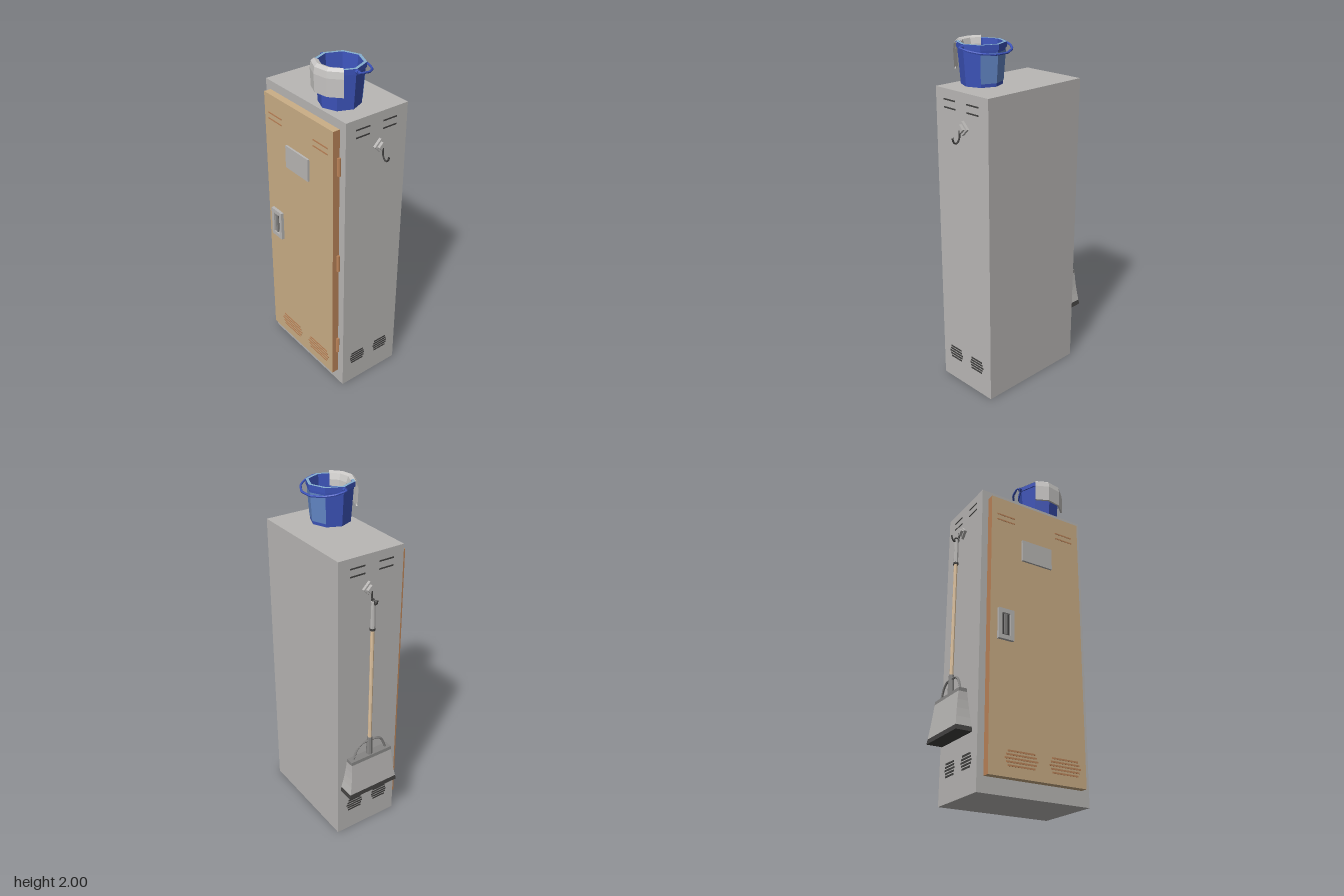
import * as THREE from 'three';

const mat = (name, color, double = false) => {
  const m = new THREE.MeshStandardMaterial({ color, flatShading: true });
  m.name = name;
  if (double) m.side = THREE.DoubleSide;
  return m;
};

export function createModel() {
  const M = {
    body: mat('locker grey', 0xb9b7b5),
    tan: mat('door tan', 0xcbae86),
    edge: mat('door edge brown', 0xbb8459),
    wood: mat('pale wood', 0xdfc39f),
    blue: mat('bucket blue', 0x3d54bb, true),
    pale: mat('pale blue', 0x6488c8, true),
    rim: mat('rim blue', 0x86afcf, true),
    cloth: mat('light grey', 0xcac8c6, true),
    metal: mat('metal grey', 0x858483),
    dark: mat('dark grey', 0x424140),
  };
  const root = new THREE.Group();
  root.name = 'utilityLocker';

  const add = (name, geo, material, x = 0, y = 0, z = 0, parent = root) => {
    const mesh = new THREE.Mesh(geo, material);
    mesh.name = name;
    mesh.position.set(x, y, z);
    parent.add(mesh);
    return mesh;
  };
  // box given by its min and max corners
  const box = (name, a, b, material, parent = root) =>
    add(name, new THREE.BoxGeometry(b[0] - a[0], b[1] - a[1], b[2] - a[2]), material,
      (a[0] + b[0]) / 2, (a[1] + b[1]) / 2, (a[2] + b[2]) / 2, parent);
  const tube = (name, pts, r, material, parent, n = 12, tension = 0.5) => {
    const curve = new THREE.CatmullRomCurve3(pts.map(p => new THREE.Vector3(...p)), false, 'catmullrom', tension);
    return add(name, new THREE.TubeGeometry(curve, n, r, 6), material, 0, 0, 0, parent);
  };
  const lathe = (name, pts, material, parent, segs = 8, start = 0, len = Math.PI * 2) =>
    add(name, new THREE.LatheGeometry(pts.map(p => new THREE.Vector2(...p)), segs, start, len), material, 0, 0, 0, parent);

  // Cabinet
  box('cabinet', [-0.173, 0, -0.335], [0.23, 1.765, 0.352], M.body);

  // Louvre slots on the front and back
  for (const [z, side] of [[0.352, 'front'], [-0.335, 'back']]) {
    const vents = new THREE.Group();
    vents.name = side + 'Vents';
    root.add(vents);
    for (const x of [-0.065, 0.113]) {
      for (const y of [1.665, 1.708])
        add('upperSlot', new THREE.BoxGeometry(0.09, 0.008, 0.004), M.dark, x, y, z, vents);
      for (let i = 0; i < 5; i++)
        add('lowerSlot', new THREE.BoxGeometry(0.11 - Math.abs(i - 2) * 0.011, 0.01, 0.004), M.dark, x, 0.142 + i * 0.017, z, vents);
    }
  }

  // Door on the model's right side
  const door = new THREE.Group();
  door.name = 'door';
  root.add(door);
  box('doorPanel', [-0.215, 0.085, -0.295], [-0.172, 1.715, 0.305], [M.tan, M.tan, M.tan, M.tan, M.edge, M.edge], door);
  for (const y of [0.295, 0.9, 1.508])
    add('hinge', new THREE.CylinderGeometry(0.012, 0.012, 0.105, 8), M.edge, -0.178, y, 0.306, door);
  for (const z of [-0.1, 0.17])
    for (let i = 0; i < 5; i++)
      add('doorLowerSlot', new THREE.BoxGeometry(0.004, 0.009, 0.2 - Math.abs(i - 2) * 0.018), M.edge, -0.215, 0.145 + i * 0.019, z, door);
  for (const z of [-0.2, 0.2])
    for (const y of [1.57, 1.605])
      add('doorUpperSlot', new THREE.BoxGeometry(0.004, 0.008, 0.12), M.edge, -0.215, y, z, door);
  box('signPlate', [-0.227, 1.34, -0.095], [-0.215, 1.473, 0.105], M.body, door);

  // Recessed pull handle: a frame around a dark well
  const frame = new THREE.Shape([[-0.048, -0.09], [0.048, -0.09], [0.048, 0.09], [-0.048, 0.09]].map(p => new THREE.Vector2(...p)));
  frame.holes.push(new THREE.Path([[-0.026, -0.065], [-0.026, 0.065], [0.026, 0.065], [0.026, -0.065]].map(p => new THREE.Vector2(...p))));
  const pull = add('handleFrame', new THREE.ExtrudeGeometry(frame, { depth: 0.018, bevelEnabled: false }), M.body, -0.215, 0.91, -0.203, door);
  pull.rotation.y = -Math.PI / 2;
  box('handleWell', [-0.219, 0.845, -0.229], [-0.214, 0.975, -0.177], M.dark, door);
  box('handleGrip', [-0.231, 0.85, -0.214], [-0.222, 0.97, -0.197], M.metal, door);

  // Coat hooks, front and back
  for (const [z, s, name] of [[0.352, 1, 'frontHook'], [-0.335, -1, 'backHook']]) {
    const hook = new THREE.Group();
    hook.name = name;
    hook.position.set(0.045, 1.58, z);
    hook.rotation.y = s > 0 ? 0 : Math.PI;
    root.add(hook);
    add('hookBase', new THREE.BoxGeometry(0.056, 0.056, 0.016), M.body, 0, 0, 0.008, hook).rotation.z = Math.PI / 4;
    add('hookBoss', new THREE.BoxGeometry(0.036, 0.036, 0.018), M.body, 0, 0, 0.024, hook).rotation.z = Math.PI / 4;
    tube('hookCurve', [[0, -0.005, 0.03], [0, -0.045, 0.033], [0, -0.066, 0.045], [0, -0.072, 0.058],
      [0, -0.06, 0.073], [0, -0.036, 0.08]], 0.005, M.dark, hook);
  }

  // Bucket
  const bucket = new THREE.Group();
  bucket.name = 'bucket';
  bucket.position.set(-0.045, 0, 0.142);
  root.add(bucket);
  lathe('bucketShell', [[0, 1.766], [0.112, 1.766], [0.127, 1.96], [0.134, 1.96], [0.134, 1.987]], M.blue, bucket);
  lathe('bucketInside', [[0.117, 1.987], [0.102, 1.785]], M.blue, bucket);
  lathe('bucketFloor', [[0.103, 1.787], [0, 1.787]], M.pale, bucket);
  lathe('bucketRim', [[0.134, 1.988], [0.117, 1.988]], M.rim, bucket);
  lathe('bucketLabel', [[0.1155, 1.785], [0.1276, 1.945]], M.pale, bucket, 2, Math.PI / 4, Math.PI / 2);
  for (const s of [-1, 1])
    add('bucketEar', new THREE.CylinderGeometry(0.012, 0.012, 0.014, 8), M.blue, 0, 1.973, s * 0.137, bucket).rotation.x = Math.PI / 2;
  // Bail folded down to one side
  const half = [[0, 0.142], [0.005, 0.158], [0.065, 0.148], [0.115, 0.112], [0.152, 0.042]];
  const bail = [...half.map(([x, z]) => [x, -z]), ...half.slice().reverse()];
  tube('bucketBail', bail.map(([x, z]) => [x, 1.973 - x * 0.2, z]), 0.0065, M.blue, bucket, 36, 0.1);

  // Cloth draped over the rim
  const deg = Math.PI / 180;
  lathe('cloth', [[0.137, 1.85], [0.146, 1.852], [0.15, 1.95], [0.145, 1.985], [0.128, 2.0], [0.106, 1.992],
    [0.095, 1.96], [0.093, 1.925], [0.101, 1.925], [0.112, 1.985], [0.137, 1.985], [0.137, 1.85]],
  M.cloth, bucket, 3, 229 * deg, 100 * deg);

  // Broom hanging on the back hook
  const broom = new THREE.Group();
  broom.name = 'broom';
  broom.position.set(0.046, 0, -0.38);
  root.add(broom);
  const rod = (name, y0, y1, r0, r1, m) =>
    add(name, new THREE.CylinderGeometry(r1, r0, y1 - y0, 8), m, 0, (y0 + y1) / 2, 0, broom);
  rod('broomPole', 0.6, 1.38, 0.011, 0.011, M.wood);
  rod('broomGrip', 1.365, 1.52, 0.014, 0.012, M.body);
  rod('gripCollar', 1.355, 1.368, 0.0155, 0.0155, M.dark);
  rod('broomSocket', 0.54, 0.67, 0.02, 0.015, M.metal);
  const loop = add('gripLoop', new THREE.TorusGeometry(0.014, 0.004, 6, 12), M.dark, 0, 1.522, 0, broom);
  loop.rotation.y = Math.PI / 2;

  // Flared head: boxes whose cross-section follows the height
  const flare = (name, y0, y1, m) => {
    const geo = new THREE.BoxGeometry(1, y1 - y0, 1, 1, 4, 1);
    geo.translate(0, (y0 + y1) / 2, 0);
    const p = geo.attributes.position;
    for (let i = 0; i < p.count; i++) {
      const t = (0.555 - p.getY(i)) / 0.235;
      p.setX(i, p.getX(i) * (0.275 + 0.055 * t * t));
      p.setZ(i, p.getZ(i) * (0.046 + 0.052 * t));
    }
    geo.computeVertexNormals();
    return add(name, geo, m, 0, 0, 0, broom);
  };
  flare('bristles', 0.345, 0.535, M.body);
  flare('bristleTips', 0.318, 0.345, M.dark);
  flare('headCap', 0.535, 0.555, M.metal);
  // Braces from the socket to the head
  for (const s of [-1, 1])
    tube('brace', [[s * 0.008, 0.645, 0], [s * 0.05, 0.642, 0], [s * 0.085, 0.615, 0], [s * 0.112, 0.55, 0]], 0.007, M.metal, broom);

  return root;
}
